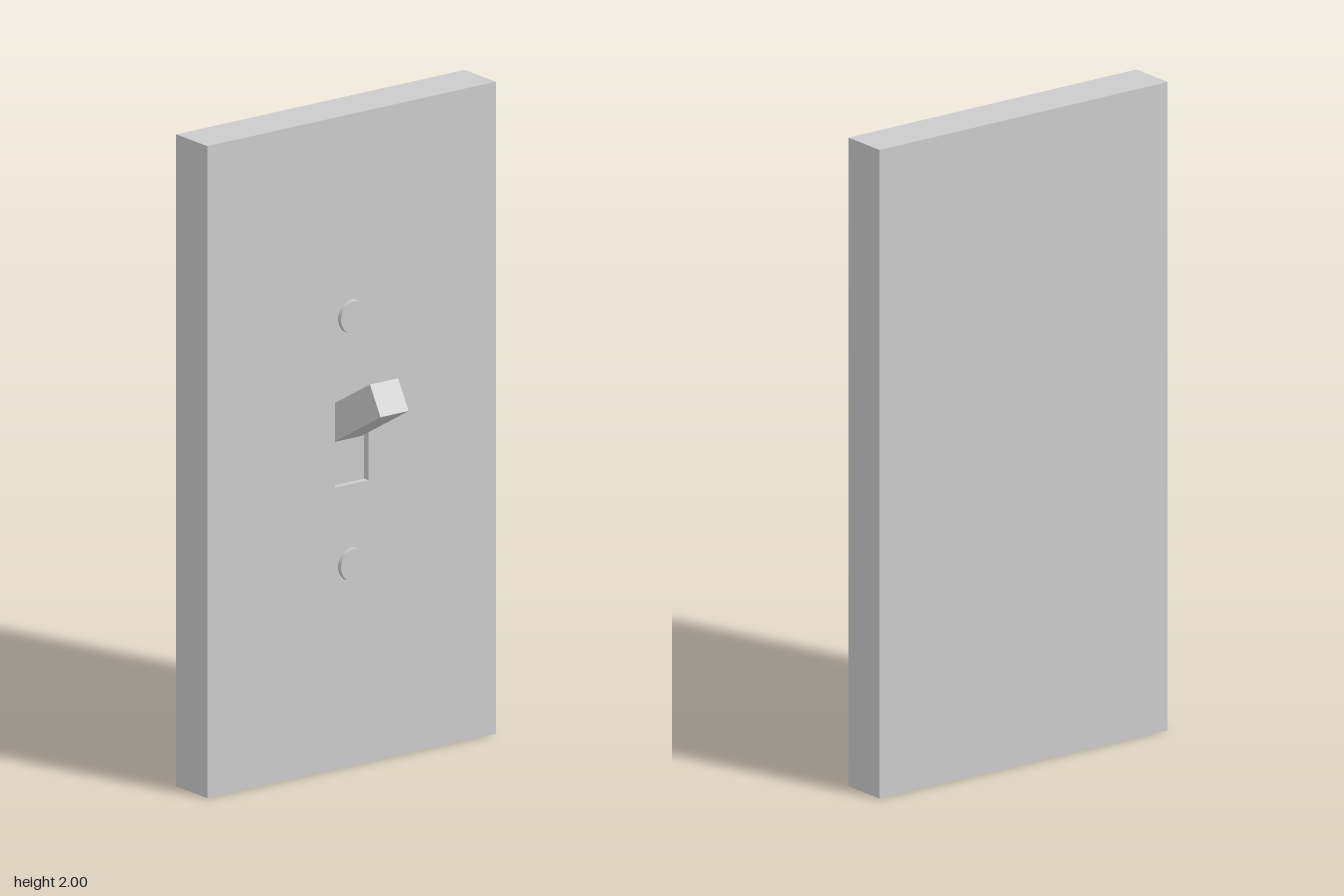
import * as THREE from 'three';

const W = 1.066, H = 2, BACK = -0.18, FRONT = -0.03, RECESS = 0.02;

export function createModel() {
  const group = new THREE.Group();
  group.name = 'toggleSwitch';
  const material = new THREE.MeshStandardMaterial({ color: 0xcccccc });

  const add = (name, geometry, x, y, z, parent = group) => {
    const mesh = new THREE.Mesh(geometry, material);
    mesh.name = name;
    mesh.position.set(x, y, z);
    parent.add(mesh);
    return mesh;
  };

  const rect = (target, w, h) => {
    target.moveTo(-w / 2, -h / 2);
    target.lineTo(w / 2, -h / 2);
    target.lineTo(w / 2, h / 2);
    target.lineTo(-w / 2, h / 2);
    target.closePath();
    return target;
  };

  // Wall plate: solid back and a front layer with the shallow slot cut out
  const plate = new THREE.Group();
  plate.name = 'wallPlate';
  group.add(plate);
  const backDepth = FRONT - BACK - RECESS;
  add('plateBack', new THREE.BoxGeometry(W, H, backDepth), 0, H / 2, BACK + backDepth / 2, plate);
  const face = rect(new THREE.Shape(), W, H);
  face.holes.push(rect(new THREE.Path(), 0.124, 0.27));
  add('plateFace', new THREE.ExtrudeGeometry(face, { depth: RECESS, bevelEnabled: false }),
    0, H / 2, FRONT - RECESS, plate);

  // Toggle lever, tilted up, its root buried behind the slot
  const lever = add('toggleLever', new THREE.BoxGeometry(0.104, 0.102, 0.3), 0, 1.0985, 0.0225);
  lever.rotation.x = -Math.PI / 6;

  // Round screw heads above and below the slot
  for (const [name, y] of [['upperScrew', 1.38], ['lowerScrew', 0.62]]) {
    const screw = add(name, new THREE.CylinderGeometry(0.05, 0.05, 0.03, 32), 0, y, FRONT);
    screw.rotation.x = Math.PI / 2;
  }

  return group;
}
